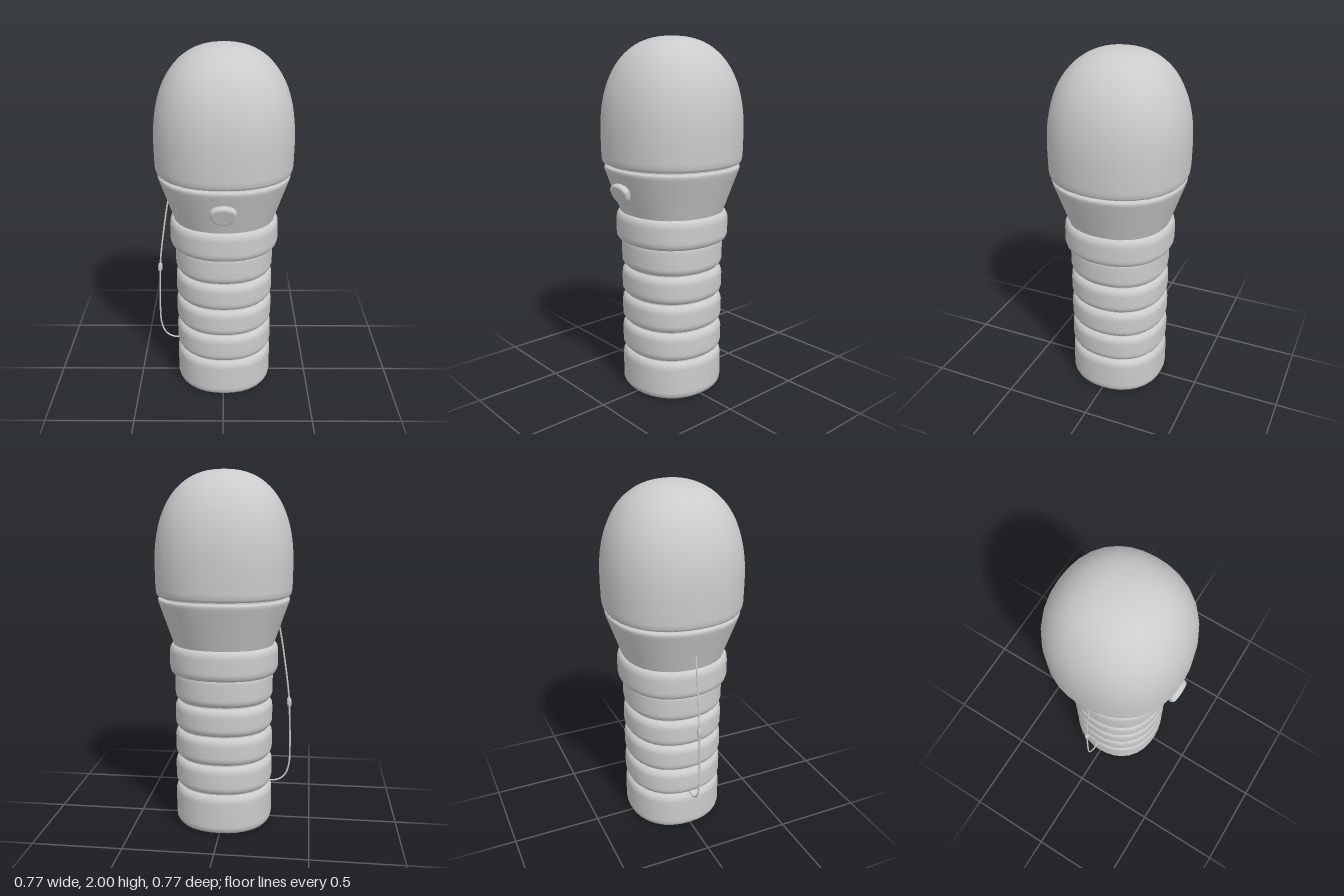
import * as THREE from 'three';
import { mergeVertices } from 'three/addons/utils/BufferGeometryUtils.js';

const material = new THREE.MeshStandardMaterial({ color: 0xcccccc, side: THREE.DoubleSide });
const CX = 0.003, CZ = -0.006;

function add(parent, name, geometry) {
  const mesh = new THREE.Mesh(geometry, material);
  mesh.name = name;
  parent.add(mesh);
  return mesh;
}

const lathe = (points, segments = 32) =>
  new THREE.LatheGeometry(points.map(([r, y]) => new THREE.Vector2(r, y)), segments);

// Turned shape whose round section is pushed slightly towards a square
function softSquare(points) {
  const n = 2.2;
  let geometry = lathe(points);
  const p = geometry.attributes.position;
  for (let i = 0; i < p.count; i++) {
    const x = p.getX(i), z = p.getZ(i), r = Math.hypot(x, z);
    if (r < 1e-6) continue;
    const k = (Math.abs(x / r) ** n + Math.abs(z / r) ** n) ** (-1 / n);
    p.setX(i, x * k);
    p.setZ(i, z * k);
  }
  geometry.deleteAttribute('uv');
  geometry.deleteAttribute('normal');
  geometry = mergeVertices(geometry, 1e-5);
  geometry.computeVertexNormals();
  return geometry;
}

// Ring profile with elliptical rounded edges, running from bottom to top
function band(y0, y1, r, inner, bevelR, bevelY) {
  const points = [[inner, y0]];
  for (const [cy, start] of [[y0 + bevelY, -90], [y1 - bevelY, 0]]) {
    for (let i = 0; i <= 6; i++) {
      const a = THREE.MathUtils.degToRad(start + i * 15);
      points.push([r - bevelR + bevelR * Math.cos(a), cy + bevelY * Math.sin(a)]);
    }
  }
  points.push([inner, y1]);
  return points;
}

export function createModel() {
  const model = new THREE.Group();
  model.name = 'torch';
  const body = new THREE.Group();
  body.name = 'body';
  body.position.set(CX, 0, CZ);
  model.add(body);

  // Handle: base, core, ribs and collar
  add(body, 'base', softSquare(band(0, 0.226, 0.278, 0.175, 0.03, 0.045)));
  add(body, 'baseRecessWall', softSquare([[0.175, 0.018], [0.175, 0]]));
  add(body, 'baseCap', softSquare([[0, 0.016], [0.175, 0.016]]));
  add(body, 'gripCore', softSquare([[0.25, 0.2], [0.25, 0.95]]));
  for (const [y0, y1] of [[0.232, 0.396], [0.402, 0.561], [0.567, 0.726], [0.732, 0.91]]) {
    add(body, 'gripRib', softSquare(band(y0, y1, 0.278, 0.24, 0.032, 0.045)));
  }
  add(body, 'collar', softSquare(band(0.885, 1.052, 0.306, 0.24, 0.027, 0.045)));

  // Flared head below the dome
  add(body, 'flaredHead', softSquare([
    [0.28, 1.04], [0.284, 1.055], [0.322, 1.165], [0.352, 1.252], [0.363, 1.283],
    [0.367, 1.298], [0.364, 1.307], [0.355, 1.312], [0.32, 1.312],
  ]));
  add(body, 'neckGroove', softSquare([[0.345, 1.3], [0.345, 1.335]]));

  // Tall, full rounded dome
  const dome = [[0.33, 1.322], [0.358, 1.321], [0.37, 1.325], [0.377, 1.338], [0.38, 1.365]];
  for (let i = 0; i < 24; i++) {
    const a = (i / 24) * Math.PI / 2;
    dome.push([0.382 * Math.cos(a) ** 0.85, 1.48 + 0.52 * Math.sin(a) ** 0.85]);
  }
  dome.push([0, 2]);
  add(body, 'dome', softSquare(dome));

  // Switch button, facing out along the flare
  const button = new THREE.Group();
  button.name = 'button';
  button.position.set(0, 1.179, 0.355);
  button.rotation.x = 0.34;
  model.add(button);
  const outline = new THREE.Shape();
  outline.moveTo(-0.056, 0.018);
  outline.bezierCurveTo(-0.056, 0.058, 0.056, 0.058, 0.056, 0.018);
  outline.bezierCurveTo(0.056, -0.064, -0.056, -0.064, -0.056, 0.018);
  add(button, 'buttonCap', new THREE.ExtrudeGeometry(outline, {
    depth: 0.01, bevelEnabled: true, bevelThickness: 0.014, bevelSize: 0.014,
    bevelSegments: 5, curveSegments: 16,
  })).position.z = -0.01;
  const stem = add(button, 'buttonStem', new THREE.CylinderGeometry(0.042, 0.042, 0.07, 24));
  stem.rotation.x = Math.PI / 2;
  stem.position.z = -0.04;

  // Wrist cord hanging from the flare to the base, with a slider bead
  const cord = new THREE.CatmullRomCurve3([
    [-0.3, 1.18], [-0.316, 1.11], [-0.345, 0.93], [-0.368, 0.75], [-0.376, 0.6],
    [-0.38, 0.42], [-0.376, 0.335], [-0.355, 0.27], [-0.315, 0.236], [-0.235, 0.226],
  ].map(([x, y]) => new THREE.Vector3(x, y, CZ)));
  add(model, 'wristCord', new THREE.TubeGeometry(cord, 60, 0.005, 8));
  const bead = add(model, 'cordBead', lathe([
    [0, -0.026], [0.008, -0.025], [0.012, -0.02], [0.013, 0],
    [0.012, 0.02], [0.008, 0.025], [0, 0.026],
  ], 12));
  bead.position.set(-0.371, 0.708, CZ);
  bead.rotation.z = -0.08;

  return model;
}
